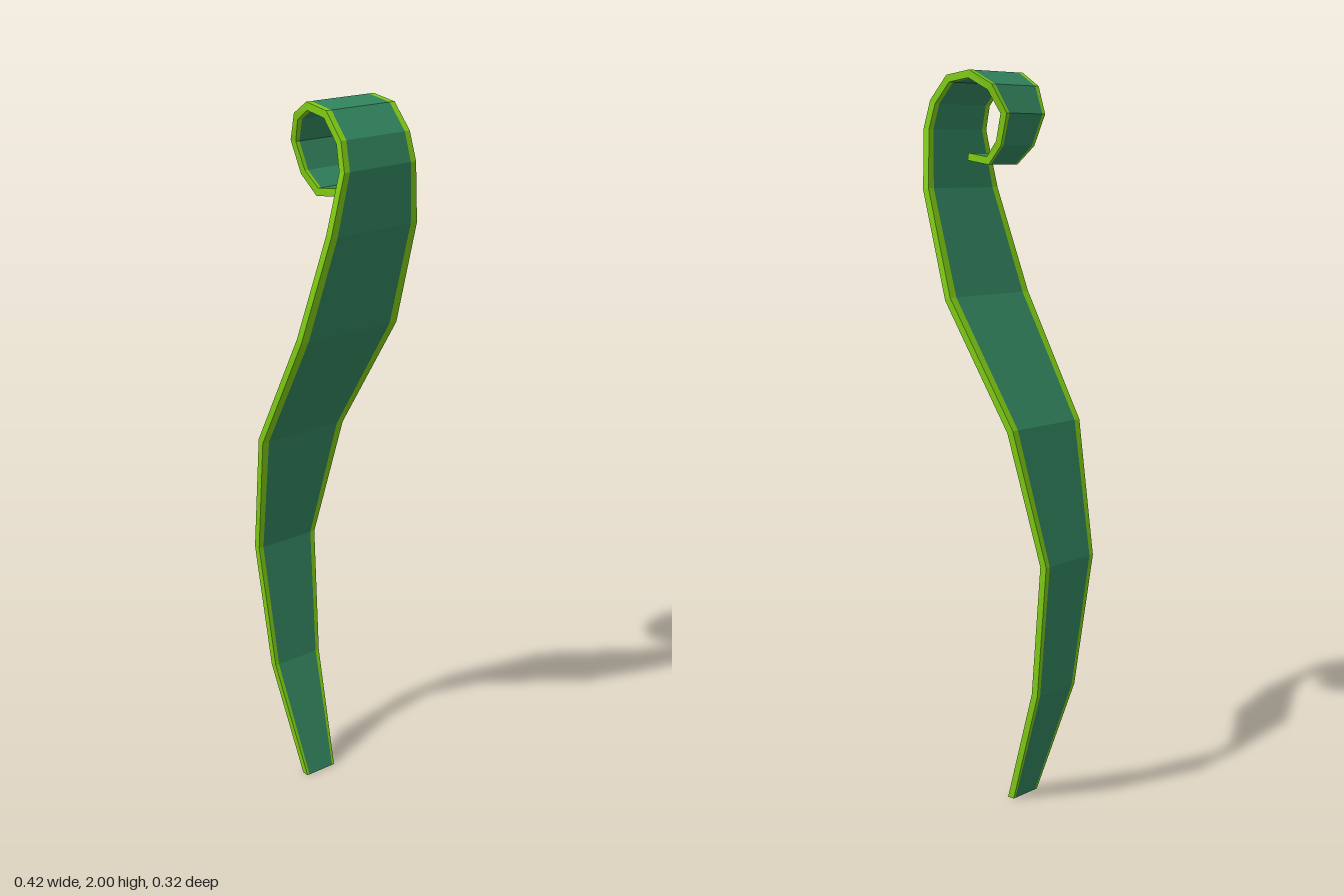
import * as THREE from 'three';

const THICK = 0.02;   // leaf thickness
const INNER = 0.85;   // share of the half width that is blade, the rest is rim

// Centre line of the frond: x, y, half width
const SPINE = [
  [-0.045, 0, 0.05], [-0.156, 0.33, 0.08], [-0.202, 0.70, 0.1],
  [-0.12, 1.06, 0.14], [0.083, 1.40, 0.16], [0.18, 1.69, 0.14],
  [0.2, 1.85, 0.115], [0.181, 1.92, 0.11], [0.126, 1.98, 0.109],
  [0.052, 1.99, 0.108], [-0.01, 1.955, 0.095], [-0.044, 1.887, 0.078],
  [-0.017, 1.81, 0.068], [0.03, 1.765, 0.058], [0.108, 1.776, 0.05],
];

// Mitred offset direction at each spine point
const OFFSETS = SPINE.map(([x, y], i) => {
  if (i === 0) return new THREE.Vector2(-1.05, 0); // base is cut level
  const dir = (a, b) => new THREE.Vector2(b[0] - a[0], b[1] - a[1]).normalize();
  const before = dir(SPINE[i - 1], SPINE[i]);
  const after = i < SPINE.length - 1 ? dir(SPINE[i], SPINE[i + 1]) : before;
  const t = before.clone().add(after).normalize();
  return new THREE.Vector2(-t.y, t.x).divideScalar(t.dot(before));
});

// Sweeps a four-corner section [side, width share] along the spine;
// only the listed edges get a surface, and both ends are capped.
function sweep(name, color, section, edges) {
  const rings = SPINE.map(([x, y, w], i) => section.map(([s, u]) => [
    x + OFFSETS[i].x * s * THICK / 2, y + OFFSETS[i].y * s * THICK / 2, u * w,
  ]));
  const pos = [];
  const quad = (a, b, c, d) => pos.push(...a, ...b, ...c, ...a, ...c, ...d);
  for (let i = 0; i < rings.length - 1; i++) {
    const lo = rings[i], hi = rings[i + 1];
    for (const e of edges) quad(lo[e], lo[e + 1], hi[e + 1], hi[e]);
  }
  quad(...[...rings[0]].reverse());
  quad(...rings[rings.length - 1]);
  const geo = new THREE.BufferGeometry();
  geo.setAttribute('position', new THREE.Float32BufferAttribute(pos, 3));
  geo.computeVertexNormals();
  const mesh = new THREE.Mesh(geo, new THREE.MeshStandardMaterial({ color, flatShading: true }));
  mesh.name = name;
  return mesh;
}

export function createModel() {
  const group = new THREE.Group();
  group.name = 'curledFrond';
  const k = INNER;
  // Dark middle of the leaf, both faces
  group.add(sweep('blade', 0x32855f, [[1, -k], [1, k], [-1, k], [-1, -k]], [0, 2]));
  // Bright rims wrapping each long edge
  group.add(sweep('frontRim', 0x7fcc14, [[1, k], [1, 1], [-1, 1], [-1, k]], [0, 1, 2]));
  group.add(sweep('backRim', 0x7fcc14, [[-1, -k], [-1, -1], [1, -1], [1, -k]], [0, 1, 2]));
  return group;
}
